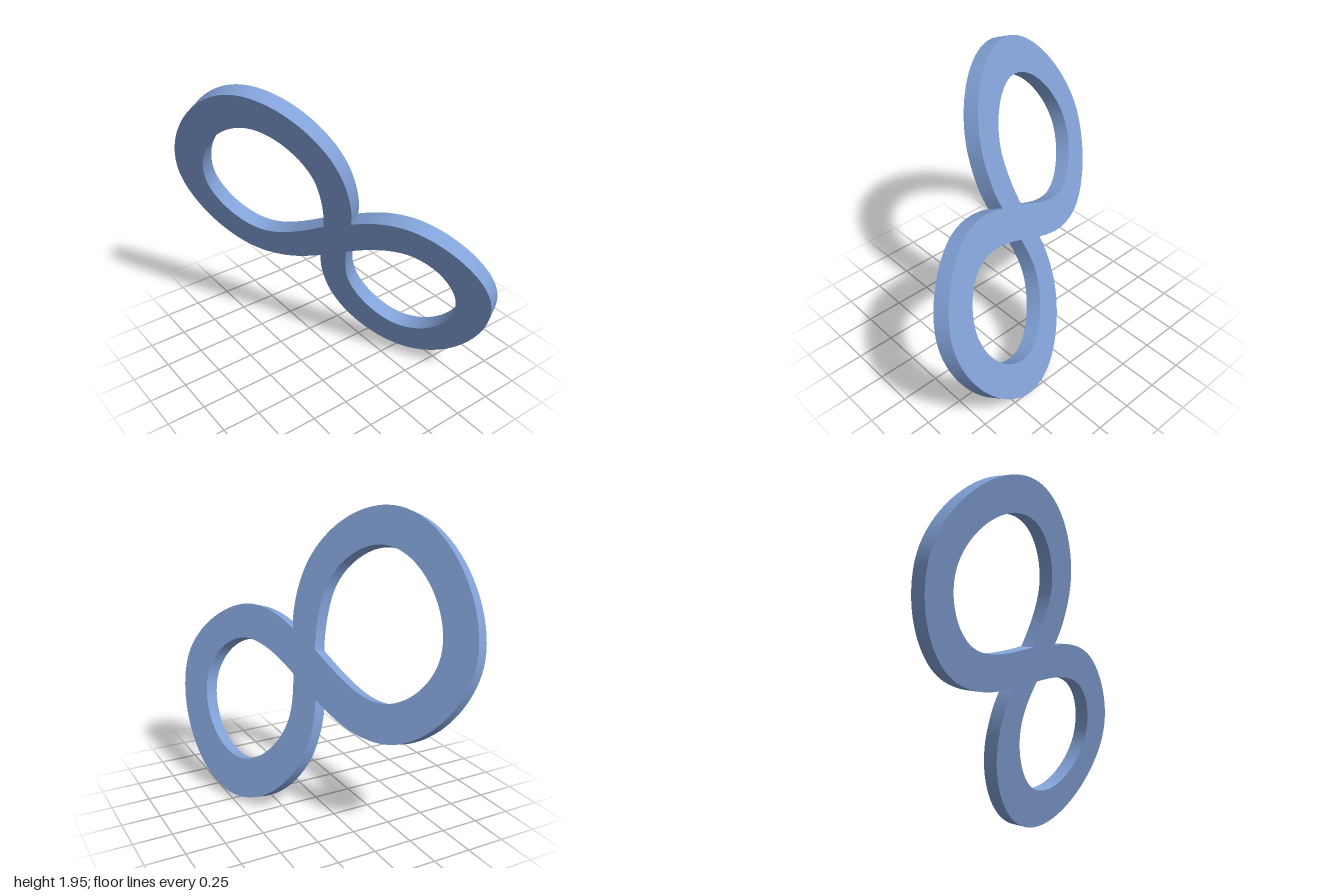
import * as THREE from 'three';
import { toCreasedNormals } from 'three/addons/utils/BufferGeometryUtils.js';

const THICKNESS = 0.1;
const CENTRE = new THREE.Vector3(0, 0.975, 0.02);

// Tilt of the flat band: turned about its own axis, then leaned sideways
const tilt = new THREE.Quaternion()
  .setFromAxisAngle(new THREE.Vector3(0, 0, 1), THREE.MathUtils.degToRad(-40))
  .multiply(new THREE.Quaternion().setFromAxisAngle(new THREE.Vector3(0, 1, 0), THREE.MathUtils.degToRad(29.7)));
const normal = new THREE.Vector3(0, 0, 1).applyQuaternion(tilt);
const untilt = tilt.clone().invert();

// Lays an x, y point of the front face flat in the band's own plane
function flatten([x, y]) {
  const h = y - CENTRE.y;
  const z = (THICKNESS / 2 - normal.x * x - normal.y * h) / normal.z;
  const p = new THREE.Vector3(x, h, z).applyQuaternion(untilt);
  return [p.x, p.y];
}

// Adds a chain of cubic curves: two handles and an end point for each
function trace(path, points) {
  const flat = points.map(flatten);
  for (let i = 0; i < flat.length; i += 3) {
    path.bezierCurveTo(...flat[i], ...flat[i + 1], ...flat[i + 2]);
  }
  return path;
}

// Outline from the upper waist notch, round the large loop, then the small one
const outlineStart = [0.235, 1.11];
const largeLoop = [
  [0.268, 1.19], [0.291, 1.29], [0.291, 1.42],
  [0.291, 1.69], [0.09, 1.914], [-0.17, 1.914],
  [-0.53, 1.914], [-0.96, 1.41], [-0.96, 1.08],
  [-0.96, 0.82], [-0.78, 0.588], [-0.54, 0.588],
  [-0.36, 0.588], [-0.22, 0.658], [-0.08, 0.727],
];
const smallLoop = [
  [-0.106, 0.659], [-0.127, 0.569], [-0.127, 0.45],
  [-0.127, 0.21], [0.04, 0], [0.27, 0],
  [0.61, 0], [1, 0.48], [1, 0.79],
  [1, 1.01], [0.78, 1.205], [0.58, 1.205],
  [0.45, 1.205], [0.34, 1.16], outlineStart,
];

// Teardrop holes, each starting and ending at its corner by the waist
const largeCorner = [0.032, 1.016];
const largeHole = [
  [0.062, 1.1], [0.097, 1.24], [0.097, 1.36],
  [0.097, 1.535], [-0.04, 1.687], [-0.2, 1.687],
  [-0.45, 1.687], [-0.752, 1.35], [-0.752, 1.11],
  [-0.752, 0.95], [-0.63, 0.807], [-0.47, 0.807],
  [-0.33, 0.807], [-0.13, 0.925], largeCorner,
];
const smallCorner = [0.128, 0.84];
const smallHole = [
  [0.1, 0.765], [0.06, 0.66], [0.06, 0.56],
  [0.06, 0.4], [0.18, 0.235], [0.32, 0.235],
  [0.54, 0.235], [0.782, 0.51], [0.782, 0.72],
  [0.782, 0.87], [0.68, 0.986], [0.54, 0.986],
  [0.42, 0.986], [0.26, 0.915], smallCorner,
];

export function createModel() {
  const group = new THREE.Group();
  group.name = 'figureEight';

  const shape = new THREE.Shape().moveTo(...flatten(outlineStart));
  trace(shape, [...largeLoop, ...smallLoop]);
  for (const [corner, hole] of [[largeCorner, largeHole], [smallCorner, smallHole]]) {
    shape.holes.push(trace(new THREE.Path().moveTo(...flatten(corner)), hole));
  }

  const geometry = new THREE.ExtrudeGeometry(shape, { depth: THICKNESS, bevelEnabled: false, curveSegments: 24 });
  geometry.translate(0, 0, -THICKNESS / 2);

  const band = new THREE.Mesh(
    toCreasedNormals(geometry, 0.5),
    new THREE.MeshStandardMaterial({ color: 0x82a2d8 })
  );
  band.name = 'loopBand';
  band.quaternion.copy(tilt);
  band.position.copy(CENTRE);
  group.add(band);
  return group;
}
